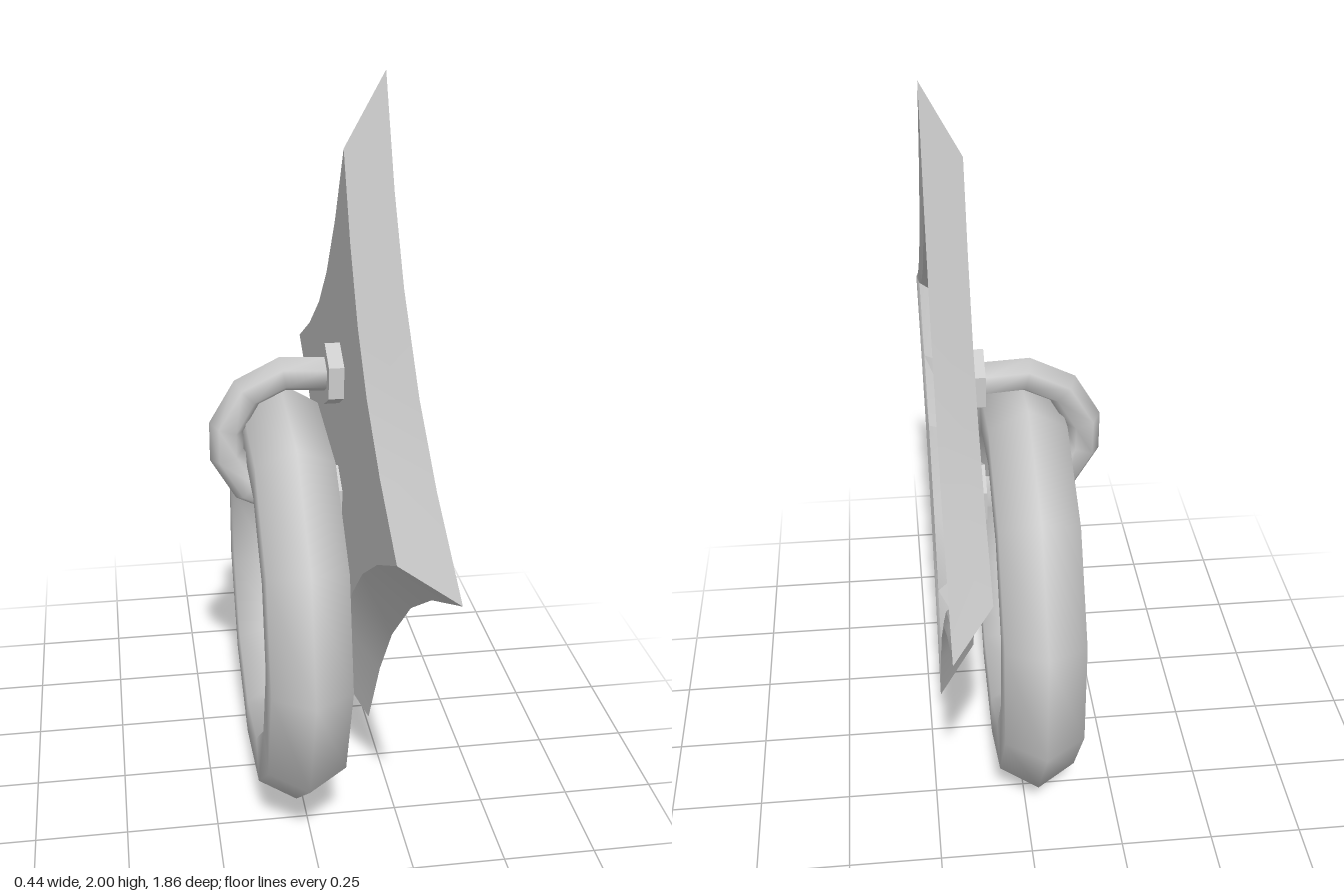
import * as THREE from 'three';
import { toCreasedNormals } from 'three/addons/utils/BufferGeometryUtils.js';

const BACK = 0.12, RIM = 0.22;          // x of the plate floor and of its rim
const PLATE_Y = 1.07, BOLT_Z = -0.013;
const BOLT_Y = [1.225, 0.875];

const mat = new THREE.MeshStandardMaterial({ color: 0xcccccc, side: THREE.DoubleSide });

function addMesh(group, name, geometry) {
  const mesh = new THREE.Mesh(geometry, mat);
  mesh.name = name;
  group.add(mesh);
  return mesh;
}

// Skin a list of closed rings (arrays of Vector3 of equal length)
function loft(rings) {
  const n = rings[0].length, index = [];
  for (let i = 0; i < rings.length - 1; i++) {
    for (let j = 0; j < n; j++) {
      const k = (j + 1) % n, a = i * n, b = a + n;
      index.push(a + j, b + j, b + k, a + j, b + k, a + k);
    }
  }
  const g = new THREE.BufferGeometry().setFromPoints(rings.flat());
  g.setIndex(index);
  g.computeVertexNormals();
  return g;
}

// Repeat one concave side of the star four times, giving (z, y) points
function star(side) {
  const pts = [];
  for (let q = 0; q < 4; q++) {
    for (const [u, v] of side) {
      pts.push(new THREE.Vector2(u, v).rotateAround(new THREE.Vector2(), -q * Math.PI / 2));
    }
  }
  return pts;
}

// Hexagon with a corner at the top, as (z, y) points
function hexagon(cy, r) {
  return Array.from({ length: 6 }, (_, i) => {
    const a = i * Math.PI / 3;
    return new THREE.Vector2(BOLT_Z + r * Math.sin(a), cy + r * Math.cos(a));
  });
}

const atX = (pts, x, dy = 0) => pts.map(p => new THREE.Vector3(x, p.y + dy, p.x));

export function createModel() {
  const model = new THREE.Group();
  model.name = 'ringPull';

  // Star-shaped plate: flat floor, flared wall, narrow rim
  const floor = star([[0, 0.745], [0.112, 0.538], [0.236, 0.362], [0.362, 0.236], [0.538, 0.112]]);
  const outer = star([[0, 0.93], [0.137, 0.672], [0.276, 0.474], [0.474, 0.276], [0.672, 0.137]]);
  const inner = star([[0, 0.885], [0.125, 0.635], [0.256, 0.438], [0.438, 0.256], [0.635, 0.125]]);
  const plate = new THREE.Group();
  plate.name = 'backPlate';
  model.add(plate);

  const shape = new THREE.Shape(floor.map(p => new THREE.Vector2(p.x, p.y + PLATE_Y)));
  for (const y of BOLT_Y) shape.holes.push(new THREE.Path(hexagon(y, 0.085)));
  const floorGeo = new THREE.ShapeGeometry(shape);
  floorGeo.rotateY(-Math.PI / 2);
  addMesh(plate, 'plateFloor', floorGeo).position.x = BACK;

  const wall = loft([
    atX(floor, BACK, PLATE_Y),
    atX(outer, RIM, PLATE_Y),
    atX(inner, RIM - 0.008, PLATE_Y),
    atX(floor, BACK + 0.002, PLATE_Y),
  ]);
  addMesh(plate, 'plateWall', toCreasedNormals(wall, 0.7));

  // Hollow hexagonal collars where the hook meets the plate
  for (const y of BOLT_Y) {
    const collar = loft([
      atX(hexagon(y, 0.085), BACK),
      atX(hexagon(y, 0.085), 0.08),
      atX(hexagon(y, 0.047), 0.08),
    ]);
    addMesh(model, 'collar', toCreasedNormals(collar, 0.6));
  }

  // Six-sided hook rod bent from collar to collar
  const path = [
    [0.08, 1.225], [-0.03, 1.232], [-0.125, 1.185], [-0.18, 1.09],
    [-0.18, 1.01], [-0.125, 0.915], [-0.03, 0.868], [0.08, 0.875],
  ].map(p => new THREE.Vector2(...p));
  const rod = path.map((p, i) => {
    const t = i === 0 || i === path.length - 1
      ? new THREE.Vector2(1, 0)
      : path[i - 1].clone().sub(path[i + 1]).normalize();
    const side = i < path.length / 2 || i < path.length - 1 ? 1 : -1;
    return Array.from({ length: 6 }, (_, j) => {
      const a = j * Math.PI / 3, c = 0.047 * Math.cos(a) * side, s = 0.047 * Math.sin(a) * side;
      return new THREE.Vector3(p.x - t.y * c, p.y + t.x * c, BOLT_Z + s);
    });
  });
  addMesh(model, 'hook', loft(rod));

  // Hanging ring: eleven segments with a hexagonal section
  const ring = new THREE.TorusGeometry(0.472, 0.118, 6, 11);
  ring.rotateY(-Math.PI / 2);
  addMesh(model, 'pullRing', ring).position.set(-0.027, 0.587, -0.014);

  return model;
}
